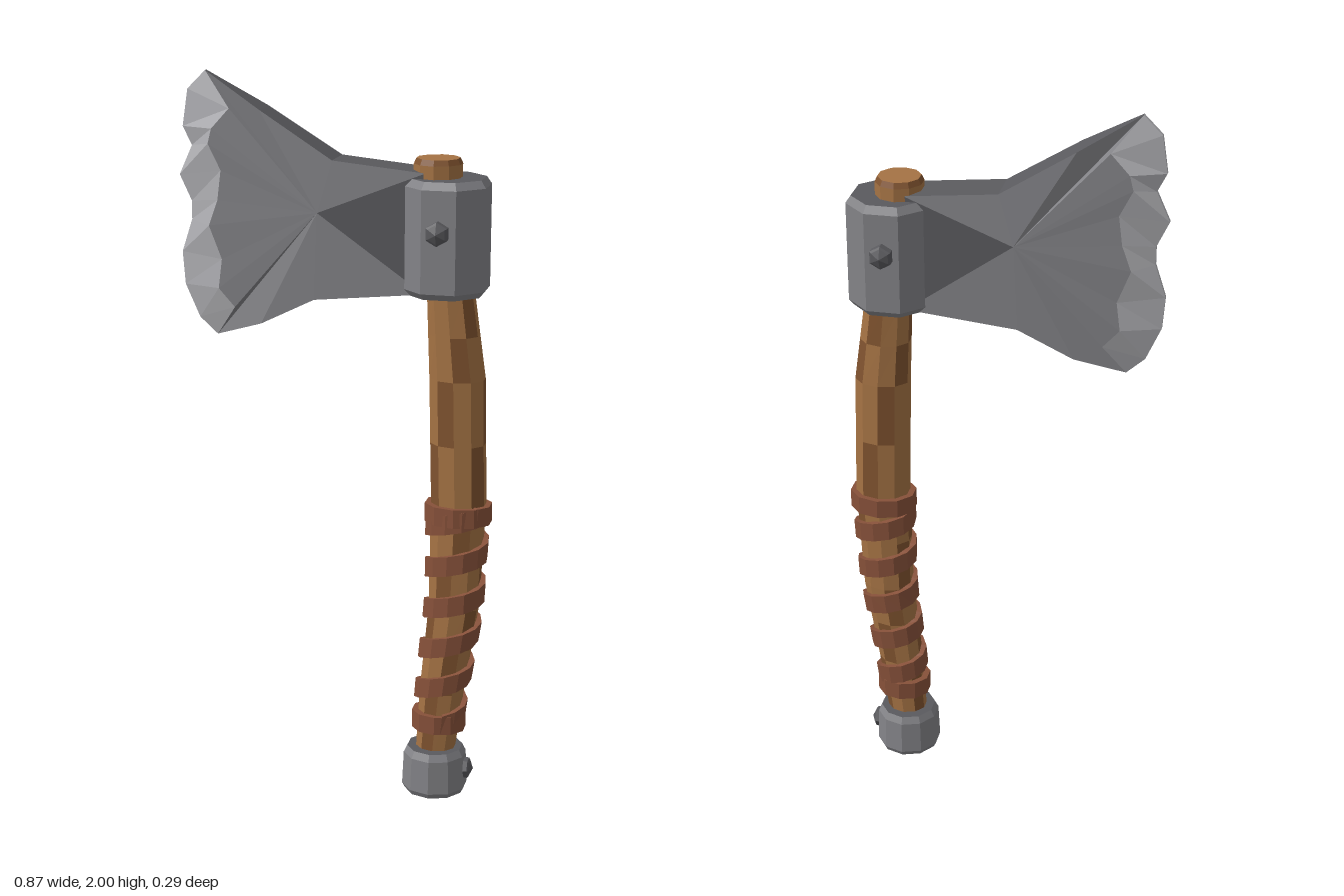
import * as THREE from 'three';

const mat = (name, color) => {
  const m = new THREE.MeshStandardMaterial({ color, flatShading: true });
  m.name = name;
  return m;
};
const V = (x, y, z) => new THREE.Vector3(x, y, z);

// Collects triangles and quads into a flat-faced geometry
function facesGeometry(faces) {
  const pos = [];
  for (const f of faces)
    for (let k = 1; k < f.length - 1; k++)
      for (const p of [f[0], f[k], f[k + 1]]) pos.push(p.x, p.y, p.z);
  const g = new THREE.BufferGeometry();
  g.setAttribute('position', new THREE.Float32BufferAttribute(pos, 3));
  g.computeVertexNormals();
  return g;
}

// Skin between closed cross-sections; pick(i, j) chooses the face list, caps ask with i = -1
function loft(sections, pick) {
  const n = sections[0].length, last = sections.length - 1;
  for (let i = 0; i < last; i++)
    for (let j = 0; j < n; j++) {
      const k = (j + 1) % n, a = sections[i], b = sections[i + 1];
      pick(i, j).push([a[j], a[k], b[k], b[j]]);
    }
  pick(-1, 0).push([...sections[0]].reverse());
  pick(-1, 1).push([...sections[last]]);
}

// Horizontal ring of points
function ring(y, cx, rx, rz, sides, phase = 0) {
  return Array.from({ length: sides }, (_, j) => {
    const a = ((j + phase) / sides) * Math.PI * 2;
    return V(cx + rx * Math.cos(a), y, -rz * Math.sin(a));
  });
}

// Handle profile: y, centre x, radius x, radius z
const PROFILE = [
  [0.1, 0.285, 0.055, 0.05], [0.3, 0.303, 0.063, 0.054], [0.55, 0.333, 0.071, 0.058],
  [0.85, 0.342, 0.077, 0.061], [1.2, 0.333, 0.077, 0.061], [1.43, 0.312, 0.065, 0.056],
  [1.72, 0.275, 0.055, 0.055],
];
function handleAt(y) {
  let i = 0;
  while (i < PROFILE.length - 2 && y > PROFILE[i + 1][0]) i++;
  const a = PROFILE[i], b = PROFILE[i + 1], t = (y - a[0]) / (b[0] - a[0]);
  return [1, 2, 3].map((k) => a[k] + (b[k] - a[k]) * t);
}

export function createModel() {
  const steel = mat('steel', 0x838387);
  const darkSteel = mat('dark steel', 0x5a5a5e);
  const edgeSteel = mat('edge steel', 0xb2b2b6);
  const wood = mat('wood', 0xa57344);
  const darkWood = mat('dark wood', 0x80532f);
  const leather = mat('leather', 0x87513a);

  const model = new THREE.Group();
  model.name = 'axe';
  const add = (name, geometry, material) => {
    const m = new THREE.Mesh(geometry, material);
    m.name = name;
    model.add(m);
    return m;
  };

  // Wooden handle with darker grain patches
  const plain = [], grain = [];
  const levels = [0.1, 0.3, 0.43, 0.55, 0.7, 0.85, 1.02, 1.2, 1.32, 1.43, 1.72];
  loft(levels.map((y) => ring(y, ...handleAt(y), 10, 0.5)),
    (i, j) => (i >= 0 && (i * 3 + j * 7) % 10 < 3 ? grain : plain));
  add('handle', facesGeometry(plain), wood);
  add('handleGrain', facesGeometry(grain), darkWood);

  // Handle end above the head
  const knob = [], knobSide = [];
  loft([[1.7, 0.065], [1.775, 0.065], [1.79, 0.058]].map(([y, r]) => ring(y, 0.273, r, r, 10, 0.5)),
    (i) => (i === 1 ? knobSide : knob));
  add('handleTop', facesGeometry(knob), wood);
  add('handleTopRim', facesGeometry(knobSide), darkWood);

  // Leather strap spiralling up the grip
  const strap = [], bandHalf = 0.028;
  const y0 = 0.215, y1 = 0.825, pitch = 0.12, steps = 62;
  const sections = [];
  for (let s = 0; s <= steps; s++) {
    const y = y0 + ((y1 - y0) * s) / steps;
    const a = ((y - 0.33) / pitch) * Math.PI * 2 - Math.PI / 2;
    const corner = (dy, out) => {
      const [cx, rx, rz] = handleAt(y + dy);
      return V(cx + (rx + out) * Math.cos(a), y + dy, -(rz + out) * Math.sin(a));
    };
    sections.push([corner(-bandHalf, 0.014), corner(-bandHalf, -0.008),
      corner(bandHalf, -0.008), corner(bandHalf, 0.014)]);
  }
  loft(sections, () => strap);
  add('gripStrap', facesGeometry(strap), leather);

  // Closing bands at both ends of the strap
  for (const [name, y] of [['lowerBand', 0.213], ['upperBand', 0.825]]) {
    const band = [];
    const [cx, rx, rz] = handleAt(y);
    loft([y - 0.026, y + 0.026].map((h) => ring(h, cx, rx + 0.017, rz + 0.016, 10, 0.5)), () => band);
    add(name, facesGeometry(band), leather);
  }

  // Socket and pommel: steel sides with dark caps
  const collar = (name, cx, sides, rows) => {
    const side = [], caps = [];
    loft(rows.map(([y, r]) => ring(y, cx, r, r, sides, 0.5)), (i) => (i < 0 ? caps : side));
    add(name, facesGeometry(side), steel);
    add(name + 'Caps', facesGeometry(caps), darkSteel);
  };
  collar('socket', 0.297, 8, [[1.43, 0.106], [1.447, 0.12], [1.72, 0.12], [1.74, 0.106]]);
  collar('pommel', 0.285, 10, [[0, 0.084], [0.015, 0.092], [0.11, 0.088], [0.13, 0.078]]);

  // Six-sided rivets
  const rivetGeo = new THREE.LatheGeometry(
    [[0.032, 0], [0.032, 0.022], [0.026, 0.026], [0, 0.037]].map((p) => new THREE.Vector2(...p)), 6);
  for (const s of [1, -1]) {
    const r = add(s > 0 ? 'frontRivet' : 'backRivet', rivetGeo, darkSteel);
    r.position.set(0.296, 1.61, s * 0.11);
    r.rotation.x = (s * Math.PI) / 2;
  }
  const pommelRivet = add('pommelRivet', rivetGeo, darkSteel);
  pommelRivet.position.set(0.362, 0.068, 0);
  pommelRivet.rotation.z = -Math.PI / 2;
  pommelRivet.scale.set(0.9, 0.9, 0.9);

  // Blade outline: top edge, inner line of the sharpened bevel, bottom edge
  const upper = [[0.25, 1.755, 0.056], [0, 1.78, 0.056], [-0.2, 1.905, 0.048]];
  const lower = [[-0.2, 1.33, 0.048], [-0.05, 1.405, 0.056], [0.25, 1.435, 0.056]];
  const outer = [[-0.36, 2], [-0.41, 1.95], [-0.425, 1.85], [-0.4, 1.8], [-0.436, 1.72], [-0.403, 1.65],
    [-0.403, 1.6], [-0.432, 1.51], [-0.425, 1.42], [-0.385, 1.33], [-0.335, 1.285]].map((p) => [...p, 0.006]);
  const inner = [[-0.36, 2], [-0.285, 1.905], [-0.335, 1.85], [-0.345, 1.81], [-0.31, 1.74], [-0.32, 1.66],
    [-0.345, 1.59], [-0.31, 1.5], [-0.32, 1.42], [-0.275, 1.37], [-0.335, 1.285]]
    .map((p, i) => [...p, i % 10 ? 0.041 : 0.006]);
  const outline = [...upper, ...inner, ...lower];
  const centre = [-0.04, 1.64, 0.06];
  const cheeks = [], inset = [], rim = [], bevel = [];

  for (const s of [1, -1]) {
    const face = (list, ...pts) => {
      const f = pts.map(([x, y, z]) => V(x, y, s * z));
      list.push(s > 0 ? f : f.reverse());
    };
    for (let i = 0; i < outline.length - 1; i++) face(cheeks, centre, outline[i], outline[i + 1]);
    face(inset, centre, lower[2], upper[0]);
    for (let i = 0; i < outer.length - 1; i++) {
      face(bevel, inner[i], outer[i], outer[i + 1]);
      face(bevel, inner[i], outer[i + 1], inner[i + 1]);
    }
  }
  // Walls joining the two sides of the blade
  const wall = (list, path) => {
    for (let i = 0; i < path.length - 1; i++) {
      const [p, q] = [path[i], path[i + 1]];
      list.push([V(...p), V(p[0], p[1], -p[2]), V(q[0], q[1], -q[2]), V(...q)]);
    }
  };
  wall(rim, [...upper, inner[0]]);
  wall(rim, [inner[10], ...lower]);
  wall(bevel, outer);
  add('bladeCheeks', facesGeometry(cheeks), steel);
  add('bladeInset', facesGeometry(inset), darkSteel);
  add('bladeRim', facesGeometry(rim), darkSteel);
  add('bladeEdge', facesGeometry(bevel), edgeSteel);

  return model;
}
